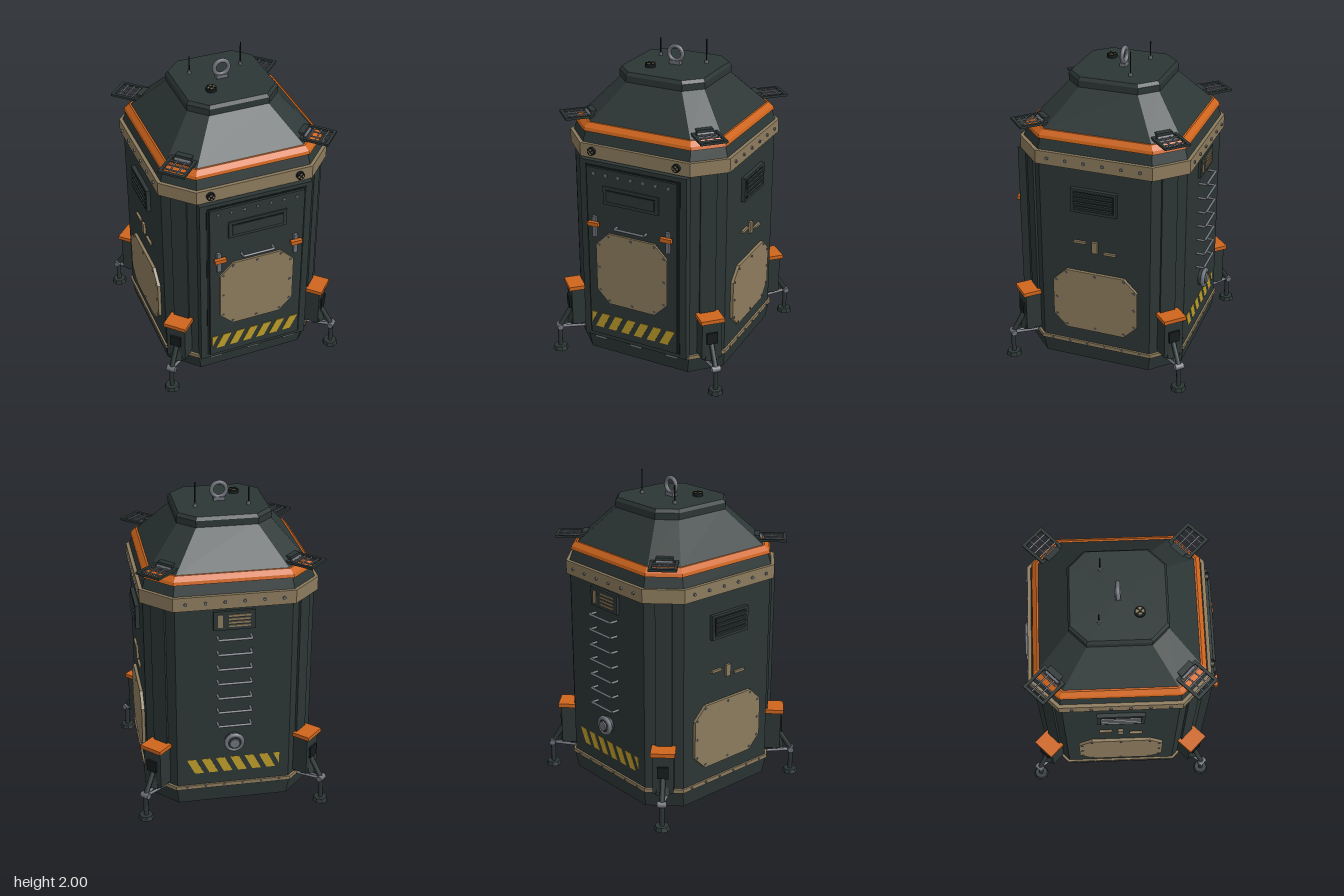
import * as THREE from 'three';

const mat = (name, color) => Object.assign(new THREE.MeshStandardMaterial({ color }), { name });
const M = {
  hull: mat('dark hull', 0x2c3635),
  black: mat('black recess', 0x161b1b),
  tan: mat('tan panel', 0x8c7b5d),
  orange: mat('orange trim', 0xcf651d),
  steel: mat('steel', 0x6d7078),
  yellow: mat('hazard yellow', 0xbd9c2a),
};

function add(parent, name, geo, material, x = 0, y = 0, z = 0) {
  const m = new THREE.Mesh(geo, material);
  m.name = name;
  m.position.set(x, y, z);
  parent.add(m);
  return m;
}

const box = (p, name, material, w, h, d, x, y, z) =>
  add(p, name, new THREE.BoxGeometry(w, h, d), material, x, y, z);

// Rod between two points
function rod(p, name, material, a, b, r, sides = 8) {
  const A = new THREE.Vector3(...a), B = new THREE.Vector3(...b), d = B.clone().sub(A);
  const m = add(p, name, new THREE.CylinderGeometry(r, r, d.length(), sides), material);
  m.position.copy(A).add(B).multiplyScalar(0.5);
  m.quaternion.setFromUnitVectors(new THREE.Vector3(0, 1, 0), d.normalize());
  return m;
}

// Disc facing local +z
function disc(p, name, material, r, t, x, y, z, sides = 16) {
  const m = add(p, name, new THREE.CylinderGeometry(r, r, t, sides), material, x, y, z);
  m.rotation.x = Math.PI / 2;
  return m;
}

// Outline of a rectangle with cut corners
const octagon = (w, h, c) => [[w, -h + c], [w, h - c], [w - c, h], [-w + c, h],
  [-w, h - c], [-w, -h + c], [-w + c, -h], [w - c, -h]];

// Stack of eight-sided sections [y, half width, corner cut], flat shaded and capped
function loft(sections) {
  const rings = sections.map(([y, h, c]) => octagon(h, h, c).map(([x, z]) => [x, y, z]));
  const pos = [], tri = (...v) => v.forEach(q => pos.push(...q));
  const last = rings[rings.length - 1];
  for (let i = 0; i < 8; i++) {
    const j = (i + 1) % 8;
    for (let k = 0; k + 1 < rings.length; k++) {
      const lo = rings[k], hi = rings[k + 1];
      tri(lo[i], hi[i], lo[j]);
      tri(lo[j], hi[i], hi[j]);
    }
    tri([0, sections[0][0], 0], rings[0][i], rings[0][j]);
    tri([0, sections[sections.length - 1][0], 0], last[j], last[i]);
  }
  const g = new THREE.BufferGeometry();
  g.setAttribute('position', new THREE.Float32BufferAttribute(pos, 3));
  g.computeVertexNormals();
  return g;
}

const plate = (pts, depth) => new THREE.ExtrudeGeometry(
  new THREE.Shape(pts.map(q => new THREE.Vector2(...q))), { depth, bevelEnabled: false });

// Cut-corner access hatch with rivets round its edge
function hatch(p, w, h, c, y, z, t) {
  add(p, 'accessHatch', plate(octagon(w, h, c), t), M.tan, 0, y, z);
  const a = w - 0.02, b = h - 0.02;
  for (const s of [-1, 1]) {
    for (const u of [-w + c, 0, w - c]) disc(p, 'hatchRivet', M.steel, 0.008, 0.01, u, y + s * b, z + t, 6);
    for (const v of [-h + c, 0, h - c]) disc(p, 'hatchRivet', M.steel, 0.008, 0.01, s * a, y + v, z + t, 6);
  }
}

// Slanted hazard stripes; dir flips the slant
function hazard(p, z, dir) {
  const shapes = [[[-0.29, 0.36], [-0.25, 0.36], [-0.29, 0.28]]];
  for (let i = 0; i < 6; i++) {
    const b = -0.265 + 0.09 * i;
    shapes.push([[b, 0.26], [b + 0.055, 0.26], [b + 0.105, 0.36], [b + 0.05, 0.36]]);
  }
  for (const s of shapes) add(p, 'hazardStripe', plate(s.map(([x, y]) => [x * dir, y]), 0.004), M.yellow, 0, 0, z);
}

// Grab bar standing off the wall on two short posts
function grabBar(p, y, z0, z1, w) {
  rod(p, 'grabBar', M.steel, [-w, y, z1], [w, y, z1], 0.008);
  for (const s of [-w, w]) rod(p, 'grabBarPost', M.steel, [s, y, z0], [s, y, z1], 0.008);
}

// Round lamp with a crossed guard, facing local +z
function lamp(p, r, x, y, z) {
  disc(p, 'lampHousing', M.black, r, 0.03, x, y, z);
  disc(p, 'lampLens', M.tan, r * 0.7, 0.004, x, y, z + 0.016);
  for (const a of [1, -1]) box(p, 'lampGuard', M.black, r * 1.6, r * 0.22, 0.008, x, y, z + 0.018).rotation.z = a * Math.PI / 4;
}

export function createModel() {
  const root = new THREE.Group();
  root.name = 'escapePod';
  const pod = new THREE.Group();
  pod.name = 'pod';
  pod.position.z = -0.01;
  root.add(pod);

  const side = (name, angle) => {
    const g = new THREE.Group();
    g.name = name;
    g.rotation.y = angle;
    pod.add(g);
    return g;
  };

  // Hull, bands and roof
  add(pod, 'lowerHull', loft([[0, 0.42, 0.14], [0.05, 0.505, 0.165], [0.155, 0.52, 0.165]]), M.hull);
  add(pod, 'lowerBand', loft([[0.155, 0.527, 0.168], [0.18, 0.527, 0.168]]), M.tan);
  add(pod, 'body', loft([[0.18, 0.515, 0.165], [1.38, 0.515, 0.165]]), M.hull);
  add(pod, 'upperBand', loft([[1.38, 0.536, 0.173], [1.465, 0.536, 0.173]]), M.tan);
  add(pod, 'roofBase', loft([[1.465, 0.515, 0.16], [1.53, 0.495, 0.15]]), M.hull);
  add(pod, 'roofStripe', loft([[1.53, 0.505, 0.15], [1.55, 0.5, 0.15], [1.578, 0.475, 0.14]]), M.orange);
  add(pod, 'roof', loft([[1.575, 0.467, 0.135], [1.8, 0.27, 0.095]]), M.hull);
  add(pod, 'roofCap', loft([[1.79, 0.285, 0.1], [1.83, 0.285, 0.1], [1.85, 0.272, 0.095]]), M.hull);

  // Roof fittings
  add(pod, 'liftingRing', new THREE.TorusGeometry(0.045, 0.013, 10, 24), M.steel, 0, 1.915, 0);
  box(pod, 'ringBase', M.steel, 0.07, 0.025, 0.035, 0, 1.86, 0);
  for (const [x, z, top] of [[-0.16, -0.11, 1.96], [0.16, -0.095, 2]]) {
    rod(pod, 'antenna', M.black, [x, 1.85, z], [x, top, z], 0.004, 6);
    rod(pod, 'antennaBase', M.steel, [x, 1.85, z], [x, 1.87, z], 0.012);
  }
  const roofLamp = new THREE.Group();
  roofLamp.name = 'roofLamp';
  roofLamp.position.set(-0.11, 1.855, 0.12);
  roofLamp.rotation.x = -Math.PI / 2;
  pod.add(roofLamp);
  lamp(roofLamp, 0.032, 0, 0, 0);

  // Front door
  const front = side('front', 0);
  box(front, 'doorFrame', M.hull, 0.71, 1.2, 0.06, 0, 0.775, 0.53);
  box(front, 'doorSeam', M.black, 0.63, 1.15, 0.004, 0, 0.775, 0.561);
  box(front, 'doorLeaf', M.hull, 0.6, 1.13, 0.05, 0, 0.775, 0.552);
  hatch(front, 0.24, 0.24, 0.085, 0.69, 0.577, 0.013);
  hazard(front, 0.577, 1);
  box(front, 'windowFrame', M.hull, 0.37, 0.115, 0.012, 0, 1.178, 0.58);
  box(front, 'windowSlot', M.black, 0.33, 0.08, 0.004, 0, 1.178, 0.586);
  box(front, 'windowShutter', M.hull, 0.315, 0.065, 0.004, 0, 1.178, 0.588);
  grabBar(front, 0.98, 0.57, 0.61, 0.1);
  for (let i = -3; i <= 3; i++) disc(front, 'doorRivet', M.steel, 0.01, 0.01, i * 0.083, 1.305, 0.578, 6);
  for (const s of [-1, 1]) {
    box(front, 'latchRail', M.steel, 0.025, 0.135, 0.02, s * 0.248, 0.96, 0.585);
    box(front, 'latchHandle', M.orange, 0.072, 0.025, 0.025, s * 0.245, 0.985, 0.605);
    lamp(front, 0.025, s * 0.28, 1.425, 0.54);
  }
  for (const x of [-0.25, 0, 0.25]) box(front, 'doorHinge', M.steel, 0.08, 0.03, 0.04, x, 0.168, 0.53);

  // Both flanks: vent, markings and access hatch
  for (const [name, angle] of [['leftFlank', Math.PI / 2], ['rightFlank', -Math.PI / 2]]) {
    const f = side(name, angle);
    box(f, 'ventFrame', M.hull, 0.29, 0.155, 0.03, 0, 1.178, 0.525);
    box(f, 'ventRecess', M.black, 0.255, 0.125, 0.004, 0, 1.178, 0.54);
    for (let i = 0; i < 4; i++) box(f, 'ventSlat', M.hull, 0.245, 0.018, 0.014, 0, 1.133 + i * 0.03, 0.54).rotation.x = 0.4;
    box(f, 'marking', M.tan, 0.08, 0.015, 0.02, -0.095, 0.892, 0.52);
    box(f, 'marking', M.tan, 0.035, 0.075, 0.02, 0, 0.87, 0.52);
    box(f, 'marking', M.tan, 0.08, 0.015, 0.02, 0.095, 0.84, 0.52);
    hatch(f, 0.272, 0.207, 0.085, 0.483, 0.512, 0.022);
  }

  // Back: rungs, vent plate, port and stripes
  const back = side('back', Math.PI);
  for (let i = 0; i < 7; i++) grabBar(back, 0.61 + i * 0.097, 0.51, 0.565, 0.1);
  box(back, 'ventPlate', M.hull, 0.25, 0.12, 0.025, 0, 1.3, 0.52);
  box(back, 'ventTab', M.tan, 0.03, 0.08, 0.008, -0.085, 1.3, 0.534);
  for (let i = 0; i < 4; i++) box(back, 'ventLouvre', M.tan, 0.13, 0.012, 0.008, 0.03, 1.267 + i * 0.022, 0.534);
  add(back, 'portRing', new THREE.TorusGeometry(0.05, 0.014, 8, 20), M.steel, 0, 0.48, 0.545);
  disc(back, 'portCollar', M.hull, 0.055, 0.05, 0, 0.48, 0.53);
  disc(back, 'portCap', M.steel, 0.032, 0.05, 0, 0.48, 0.54, 8);
  hazard(back, 0.513, -1);

  // Band rivets
  for (let k = 0; k < 4; k++) {
    const g = side('bandRivets', k * Math.PI / 2);
    for (let i = 0; i < 6; i++) {
      const u = -0.29 + i * 0.116;
      if (k) disc(g, 'upperRivet', M.steel, 0.01, 0.014, u, 1.423, 0.538, 6);
      disc(g, 'lowerRivet', M.steel, 0.007, 0.01, u, 0.168, 0.528, 6);
    }
  }

  // Corners: rail, open roof panel and landing leg; local +z points outwards
  for (let k = 0; k < 4; k++) {
    const c = side('corner', Math.PI / 4 + k * Math.PI / 2);
    box(c, 'cornerRail', M.hull, 0.1, 1.2, 0.03, 0, 0.78, 0.61);

    for (const s of [-1, 1]) {
      box(c, 'panelFrame', M.hull, 0.018, 0.014, 0.175, s * 0.073, 1.6, 0.617);
      box(c, 'panelFrame', M.hull, 0.164, 0.014, 0.018, 0, 1.6, 0.617 + s * 0.08);
      rod(c, 'panelBar', M.steel, [s * 0.025, 1.6, 0.54], [s * 0.025, 1.6, 0.695], 0.005, 6);
    }
    for (const z of [0.575, 0.617, 0.66]) rod(c, 'panelBar', M.steel, [-0.07, 1.6, z], [0.07, 1.6, z], 0.005, 6);
    box(c, 'panelHinge', M.hull, 0.1, 0.035, 0.05, 0, 1.607, 0.52);
    rod(c, 'hingePin', M.steel, [-0.05, 1.6, 0.55], [0.05, 1.6, 0.55], 0.01);

    box(c, 'legHousing', M.hull, 0.125, 0.25, 0.11, 0, 0.322, 0.655);
    box(c, 'legCap', M.orange, 0.148, 0.025, 0.13, 0, 0.458, 0.662);
    box(c, 'legCover', M.black, 0.07, 0.075, 0.02, 0, 0.34, 0.712);
    const skirt = add(c, 'legSkirt', new THREE.CylinderGeometry(0.035, 0.06, 0.09, 8), M.hull, 0, 0.235, 0.675);
    skirt.geometry = skirt.geometry.toNonIndexed();
    skirt.geometry.computeVertexNormals();
    rod(c, 'legStrut', M.hull, [0, 0.3, 0.7], [0, 0.165, 0.785], 0.016);
    for (const s of [-1, 1]) rod(c, 'legBrace', M.steel, [s * 0.03, 0.16, 0.62], [0, 0.16, 0.785], 0.009);
    rod(c, 'ankle', M.steel, [-0.028, 0.165, 0.785], [0.028, 0.165, 0.785], 0.02);
    rod(c, 'footPost', M.hull, [0, 0.02, 0.785], [0, 0.165, 0.785], 0.015);
    const pad = add(c, 'footPad', new THREE.CylinderGeometry(0.042, 0.05, 0.026, 8).toNonIndexed(), M.hull, 0, 0.013, 0.785);
    pad.geometry.computeVertexNormals();
  }
  return root;
}
